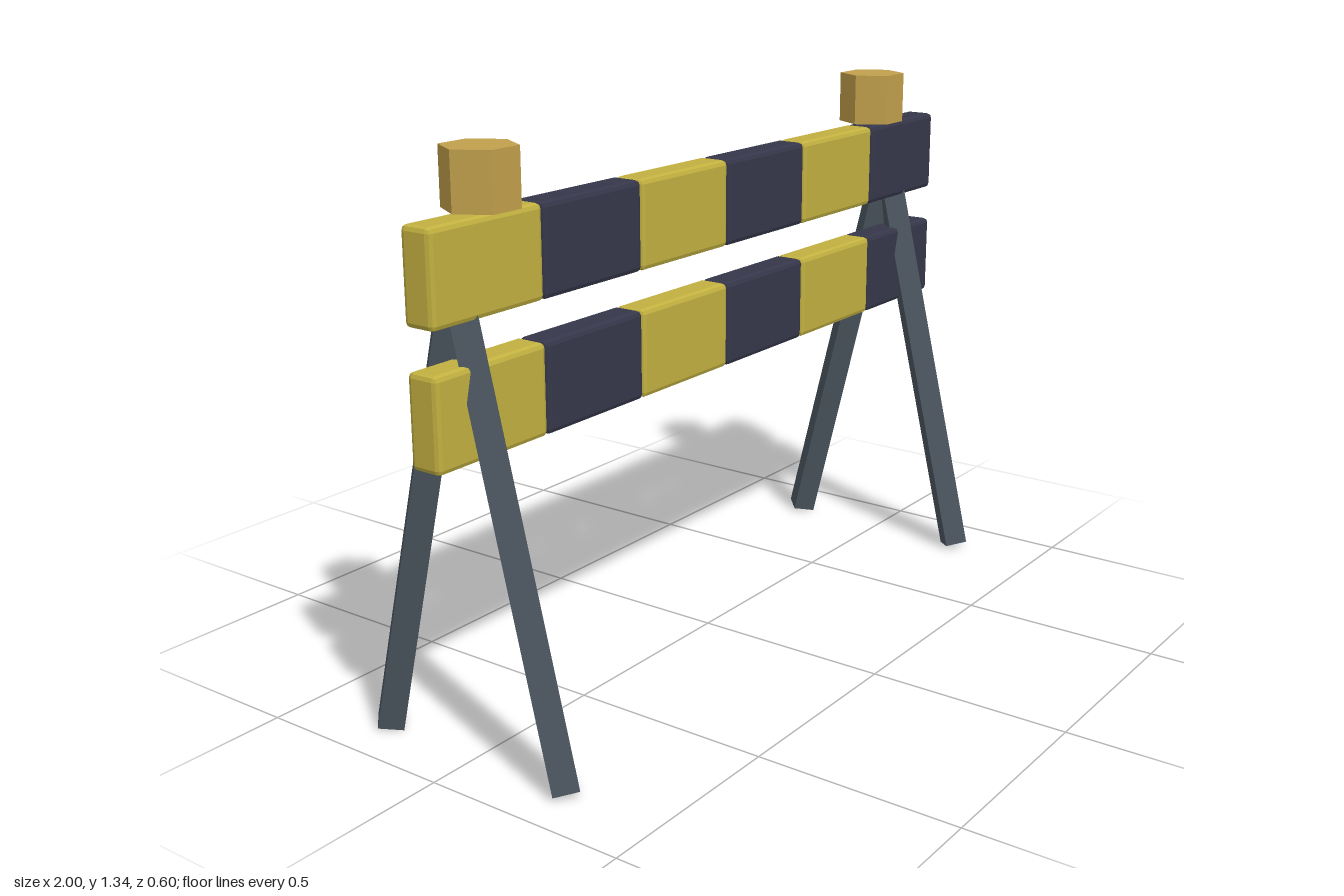
import * as THREE from 'three';
import { RoundedBoxGeometry } from 'three/addons/geometries/RoundedBoxGeometry.js';

const paint = (color) => new THREE.MeshStandardMaterial({ color, flatShading: true });

export function createModel() {
  const model = new THREE.Group();
  const yellow = paint(0xc2b040);
  const dark = paint(0x35374a);
  const steel = paint(0x4b555f);
  const amber = paint(0xc2a04c);

  const add = (name, geometry, material, x, y, z, parent = model) => {
    const mesh = new THREE.Mesh(geometry, material);
    mesh.name = name;
    mesh.position.set(x, y, z);
    parent.add(mesh);
    return mesh;
  };

  // Two striped boards, each six softly bevelled blocks
  const count = 6;
  const width = 2 / count;
  const block = new RoundedBoxGeometry(width, 0.21, 0.08, 1, 0.012);
  for (const [name, y] of [['upperBoard', 1.108], ['lowerBoard', 0.808]]) {
    const board = new THREE.Group();
    board.name = name;
    model.add(board);
    for (let i = 0; i < count; i++) {
      add('stripe', block, i % 2 ? dark : yellow, -1 + (i + 0.5) * width, y, 0.02, board);
    }
  }

  // Splayed A-frame legs: square bars turned on edge, crossing at the top
  const foot = 0.26, bottom = 0.01, top = 1.086;
  const rise = top - bottom;
  const bar = new THREE.CylinderGeometry(0.042, 0.042, Math.hypot(foot, rise), 4);
  for (const x of [-0.872, 0.85]) {
    for (const side of [1, -1]) {
      const leg = add(side > 0 ? 'frontLeg' : 'backLeg', bar, steel, x, (top + bottom) / 2, side * foot / 2);
      leg.rotation.x = -side * Math.atan2(foot, rise);
    }
  }

  // Hexagonal warning lamps on the upper board
  const lamp = new THREE.CylinderGeometry(0.085, 0.085, 0.13, 6).rotateY(Math.PI / 6);
  for (const x of [-0.788, 0.76]) add('lamp', lamp, amber, x, 1.279, 0);

  return model;
}
